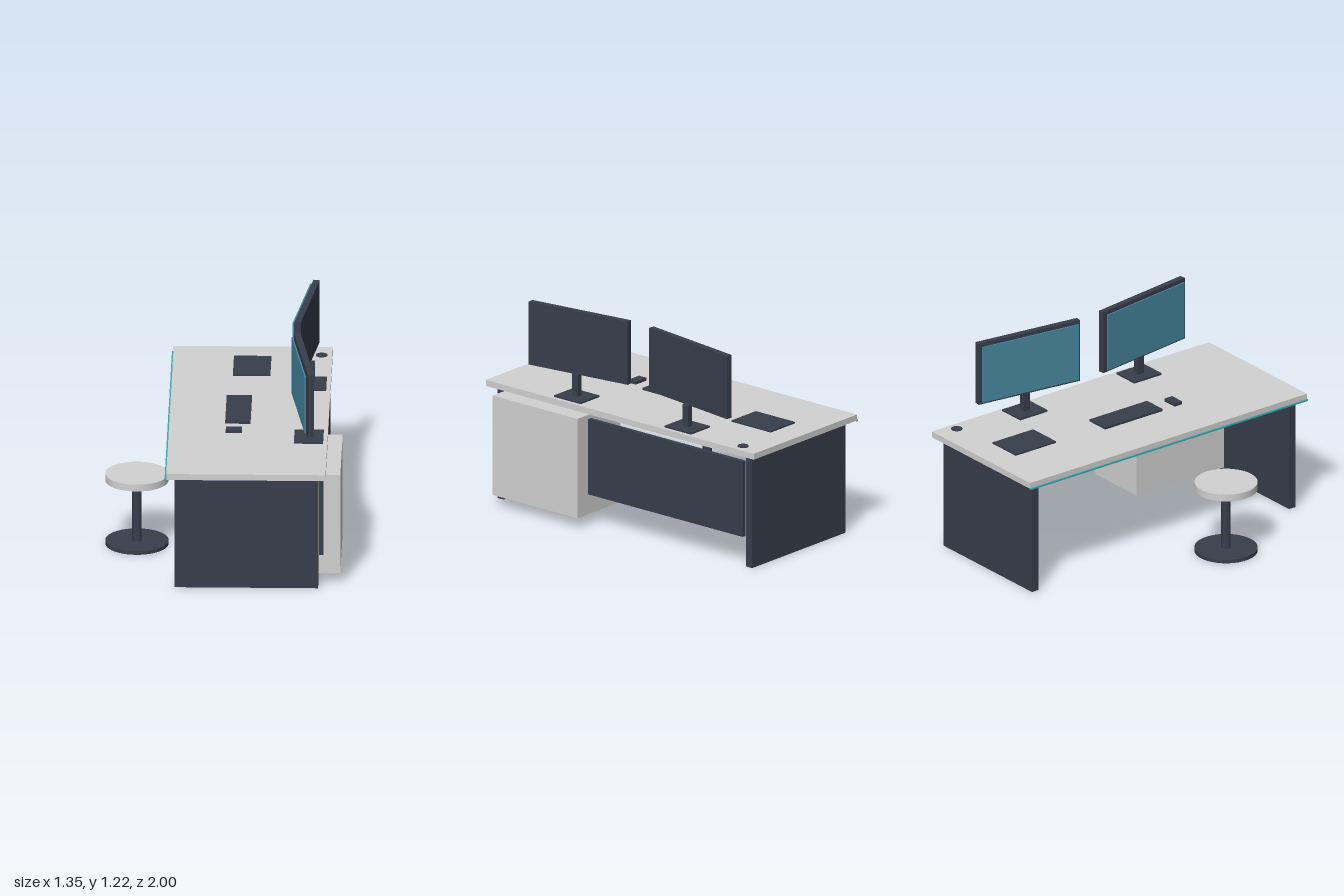
import * as THREE from 'three';

const mat = (name, color) => {
  const m = new THREE.MeshStandardMaterial({ color });
  m.name = name;
  return m;
};

export function createModel() {
  const light = mat('lightLaminate', 0xd2d2d2);
  const dark = mat('darkSlate', 0x373e4b);
  const screenBlue = mat('screenBlue', 0x4789a1);
  const teal = mat('tealTrim', 0x3fa9ad);

  const model = new THREE.Group();
  model.name = 'workstation';

  // Box given by its minimum and maximum corners
  const box = (name, material, [x0, y0, z0], [x1, y1, z1], parent = model) => {
    const mesh = new THREE.Mesh(new THREE.BoxGeometry(x1 - x0, y1 - y0, z1 - z0), material);
    mesh.position.set((x0 + x1) / 2, (y0 + y1) / 2, (z0 + z1) / 2);
    mesh.name = name;
    parent.add(mesh);
    return mesh;
  };

  // Upright disc or post
  const disc = (name, material, r, y0, y1, x, z, parent = model) => {
    const mesh = new THREE.Mesh(new THREE.CylinderGeometry(r, r, y1 - y0, 48), material);
    mesh.position.set(x, (y0 + y1) / 2, z);
    mesh.name = name;
    parent.add(mesh);
    return mesh;
  };

  // Desk
  const top = 0.709;
  box('desktop', light, [-0.314, 0.673, -1], [0.591, top, 1]);
  box('edgeTrim', teal, [-0.324, 0.668, -1], [-0.312, 0.677, 1]);
  for (const s of [-1, 1]) {
    box('sidePanel', dark, [-0.269, 0, s * 0.928 - 0.023], [0.548, 0.673, s * 0.928 + 0.023]);
  }
  box('backPanel', dark, [0.551, 0.185, -0.905], [0.578, 0.637, 0.905]);
  box('cabinet', light, [0.297, 0.066, 0.247], [0.673, 0.663, 0.88]);

  // Two monitors, angled towards the seat
  for (const s of [-1, 1]) {
    const monitor = new THREE.Group();
    monitor.name = 'monitor';
    const z = s * 0.412;
    box('monitorBase', dark, [0.401, top, z - 0.099], [0.567, 0.719, z + 0.099], monitor);
    box('monitorPost', dark, [0.466, 0.715, z - 0.021], [0.502, 0.848, z + 0.021], monitor);

    const head = new THREE.Group();
    head.name = 'monitorHead';
    head.position.set(0.457, 1.03, z);
    head.rotation.y = s * THREE.MathUtils.degToRad(8);
    box('monitorCasing', dark, [-0.018, -0.189, -0.333], [0.018, 0.189, 0.333], head);
    box('screen', screenBlue, [-0.034, -0.173, -0.315], [-0.026, 0.171, 0.315], head);
    monitor.add(head);
    model.add(monitor);
  }

  // Things on the desk
  box('keyboard', dark, [0.004, top, -0.208], [0.148, 0.722, 0.207]);
  box('mouse', dark, [0.01, top, 0.297], [0.102, 0.727, 0.352]);
  box('tablet', dark, [0.032, top, -0.832], [0.245, 0.718, -0.54]);
  disc('cableGrommet', dark, 0.032, top, 0.714, 0.53, -0.868);

  // Stool
  const stool = new THREE.Group();
  stool.name = 'stool';
  disc('stoolBase', dark, 0.18, 0, 0.021, -0.496, 0.272, stool);
  disc('stoolPost', dark, 0.027, 0.021, 0.386, -0.496, 0.272, stool);
  disc('stoolSeat', light, 0.18, 0.386, 0.428, -0.496, 0.272, stool);
  model.add(stool);

  return model;
}
